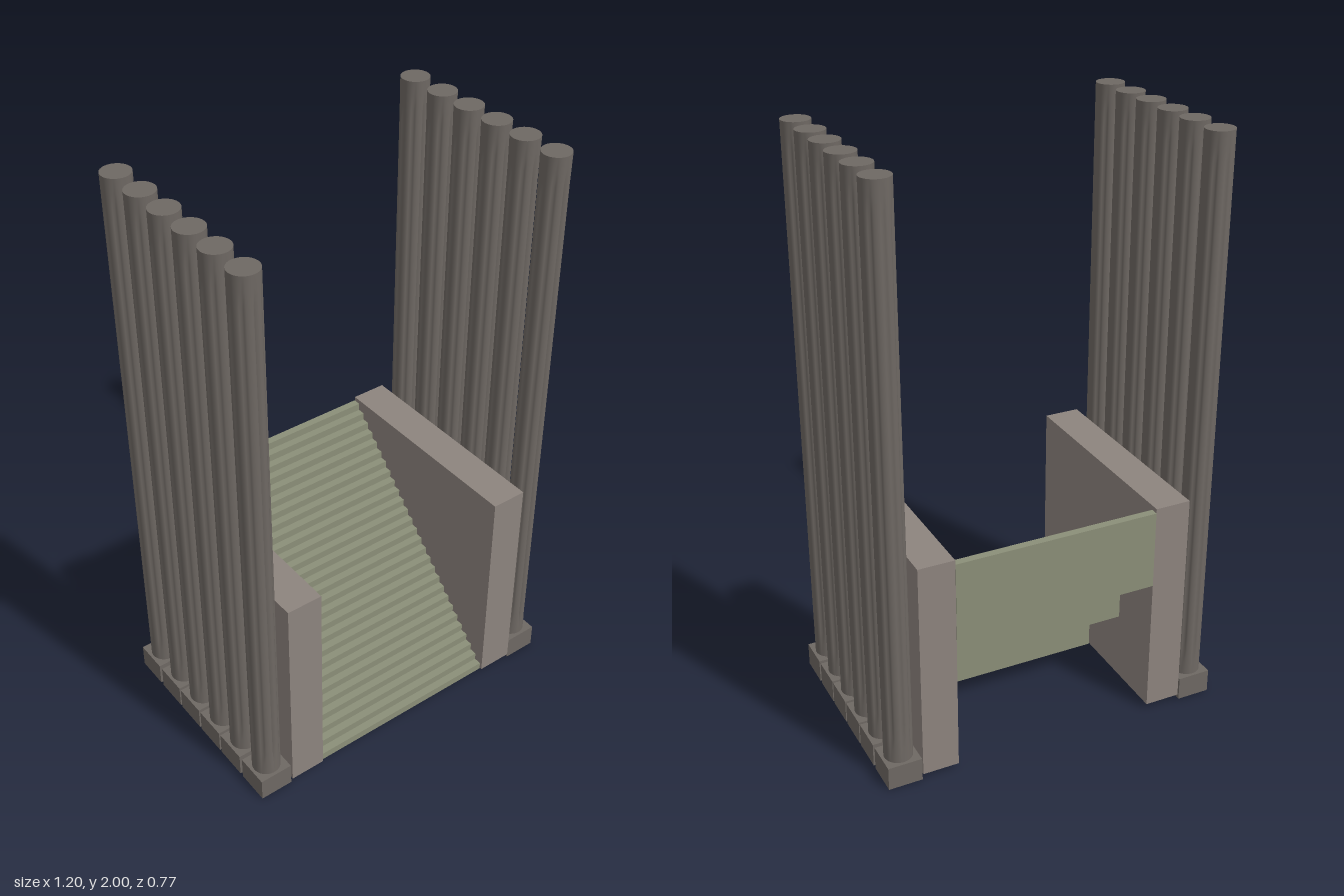
import * as THREE from 'three';

const stone = new THREE.MeshStandardMaterial({ color: 0x6e6863 });
const wallStone = new THREE.MeshStandardMaterial({ color: 0x8d847e });
const stepStone = new THREE.MeshStandardMaterial({ color: 0x8b8f78 });

function mesh(name, geometry, material, x = 0, y = 0, z = 0) {
  const m = new THREE.Mesh(geometry, material);
  m.name = name;
  m.position.set(x, y, z);
  return m;
}

// Column shaft with shallow flutes that fade out near both ends
function shaftGeometry(radius, y0, y1, flutes = 8, depth = 0.006) {
  const height = y1 - y0;
  const geo = new THREE.CylinderGeometry(radius, radius, height, flutes * 6, 40);
  const p = geo.attributes.position;
  for (let i = 0; i < p.count; i++) {
    const x = p.getX(i), z = p.getZ(i);
    const end = height / 2 - Math.abs(p.getY(i));
    const fade = THREE.MathUtils.smoothstep(end, 0.03, 0.09);
    const groove = Math.max(0, Math.cos(Math.atan2(z, x) * flutes)) ** 2;
    const k = 1 - (depth / radius) * groove * fade;
    if (Math.hypot(x, z) > radius * 0.5) p.setXYZ(i, x * k, p.getY(i), z * k);
  }
  geo.computeVertexNormals();
  geo.translate(0, y0 + height / 2, 0);
  return geo;
}

// Side profile of the stairs: fine treads in front, three big ledges below
function stairsGeometry() {
  const steps = 28, front = 0.375, back = -0.385, low = 0.015, top = 0.775;
  const run = (front - back) / steps, rise = (top - low) / steps;
  const s = new THREE.Shape();
  s.moveTo(front, low);
  for (let i = 0; i < steps; i++) {
    s.lineTo(front - i * run, low + (i + 1) * rise);
    s.lineTo(front - (i + 1) * run, low + (i + 1) * rise);
  }
  s.lineTo(back, 0.5);
  s.lineTo(-0.18, 0.5);
  s.lineTo(-0.18, 0.257);
  s.lineTo(0.025, 0.257);
  s.lineTo(0.025, low);
  const geo = new THREE.ExtrudeGeometry(s, { depth: 0.71, bevelEnabled: false });
  geo.translate(0, 0, -0.355);
  geo.rotateY(-Math.PI / 2); // profile x becomes z
  return geo;
}

export function createModel() {
  const model = new THREE.Group();
  model.name = 'columnStairway';

  model.add(mesh('stairs', stairsGeometry(), stepStone));

  const wall = new THREE.BoxGeometry(0.125, 0.772, 0.768);
  const base = new THREE.BoxGeometry(0.117, 0.083, 0.118);
  const shaft = shaftGeometry(0.048, 0.083, 2);

  for (const side of [1, -1]) {
    const prefix = side > 0 ? 'left' : 'right';
    model.add(mesh(prefix + 'Wall', wall, wallStone, side * 0.418, 0.404, 0));

    // Row of six columns on square bases
    [-0.327, -0.193, -0.066, 0.062, 0.189, 0.321].forEach((z, i) => {
      const column = new THREE.Group();
      column.name = prefix + 'Column' + (i + 1);
      column.position.set(side * 0.543, 0, z);
      column.add(mesh('base', base, stone, 0, 0.0415, 0));
      column.add(mesh('shaft', shaft, stone));
      model.add(column);
    });
  }
  return model;
}
